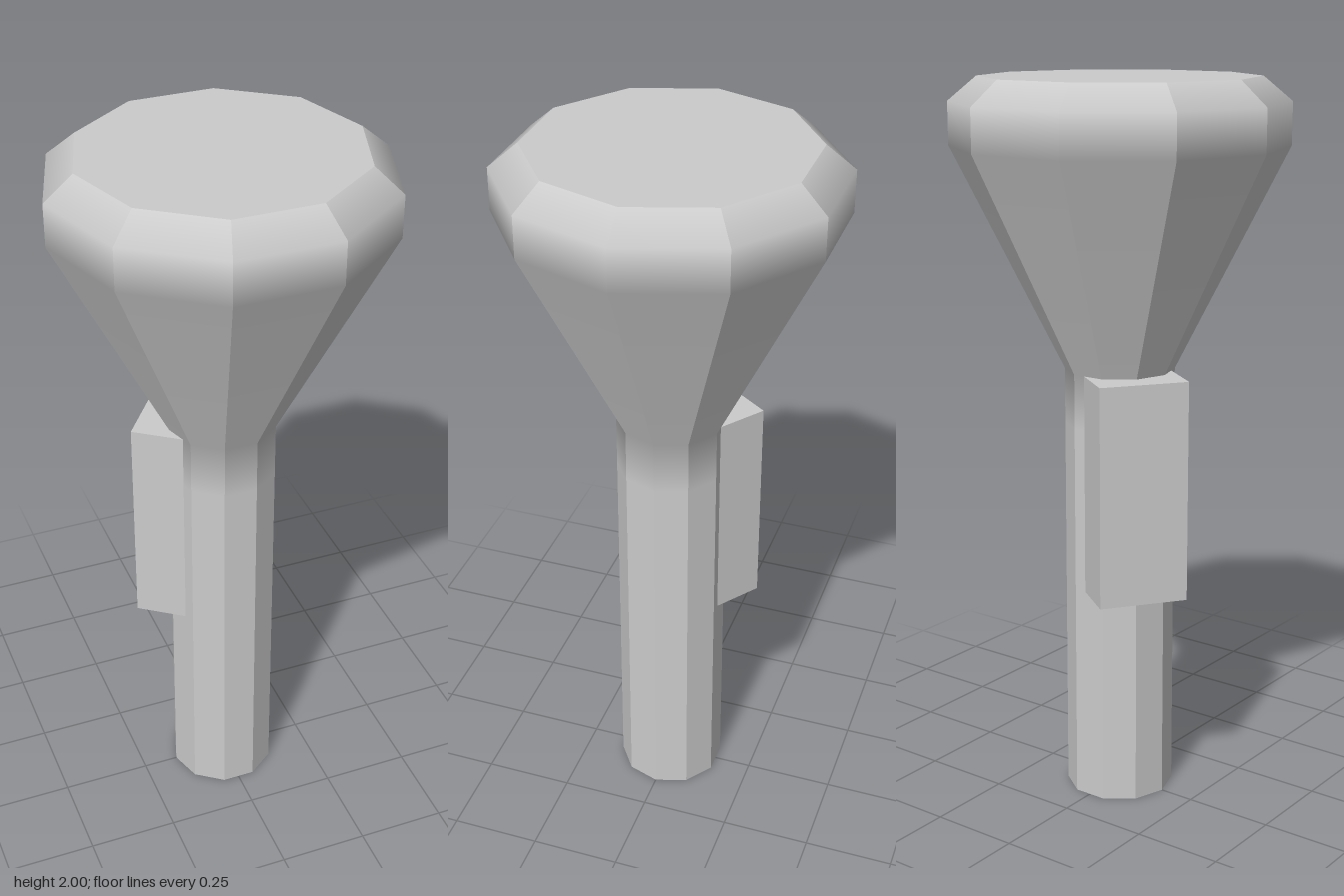
import * as THREE from 'three';

const SIDES = 10;
const material = new THREE.MeshStandardMaterial({ color: 0xcccccc });

// Lathe that is faceted around its axis but smooth along its profile
function facetedLathe(profile) {
  const points = profile.map(([r, y]) => new THREE.Vector2(r, y));
  const geometry = new THREE.LatheGeometry(points, SIDES, Math.PI / SIDES).toNonIndexed();
  const position = geometry.attributes.position;
  const normal = geometry.attributes.normal;
  for (let i = 0; i < position.count; i += 3) {
    const x = (position.getX(i) + position.getX(i + 1) + position.getX(i + 2)) / 3;
    const z = (position.getZ(i) + position.getZ(i + 1) + position.getZ(i + 2)) / 3;
    // Snap the triangle's direction to the middle of its facet
    const step = (2 * Math.PI) / SIDES;
    const angle = Math.round(Math.atan2(x, z) / step) * step;
    for (let j = i; j < i + 3; j++) {
      const outward = Math.hypot(normal.getX(j), normal.getZ(j));
      normal.setXYZ(j, outward * Math.sin(angle), normal.getY(j), outward * Math.cos(angle));
    }
  }
  return geometry;
}

export function createModel() {
  const group = new THREE.Group();
  const add = (name, geometry) => {
    const mesh = new THREE.Mesh(geometry, material);
    mesh.name = name;
    group.add(mesh);
    return mesh;
  };

  // Straight shaft flaring into a wide head with a bevelled rim
  add('body', facetedLathe([
    [0.15, 0], [0.15, 1.07], [0.15, 1.22],
    [0.453, 1.82], [0.453, 1.935], [0.375, 2],
  ]));

  // Flat ends
  const top = add('headTop', new THREE.CircleGeometry(0.375, SIDES).rotateX(-Math.PI / 2));
  top.position.y = 2;
  add('shaftBottom', new THREE.CircleGeometry(0.15, SIDES).rotateX(Math.PI / 2));

  // Block set into the back right corner of the shaft
  const block = add('sideBlock', new THREE.BoxGeometry(0.246, 0.61, 0.19));
  const angle = -0.7 * Math.PI;
  const distance = 0.217 - 0.19 / 2;
  block.rotation.y = angle;
  block.position.set(Math.sin(angle) * distance, 0.915, Math.cos(angle) * distance);

  return group;
}
